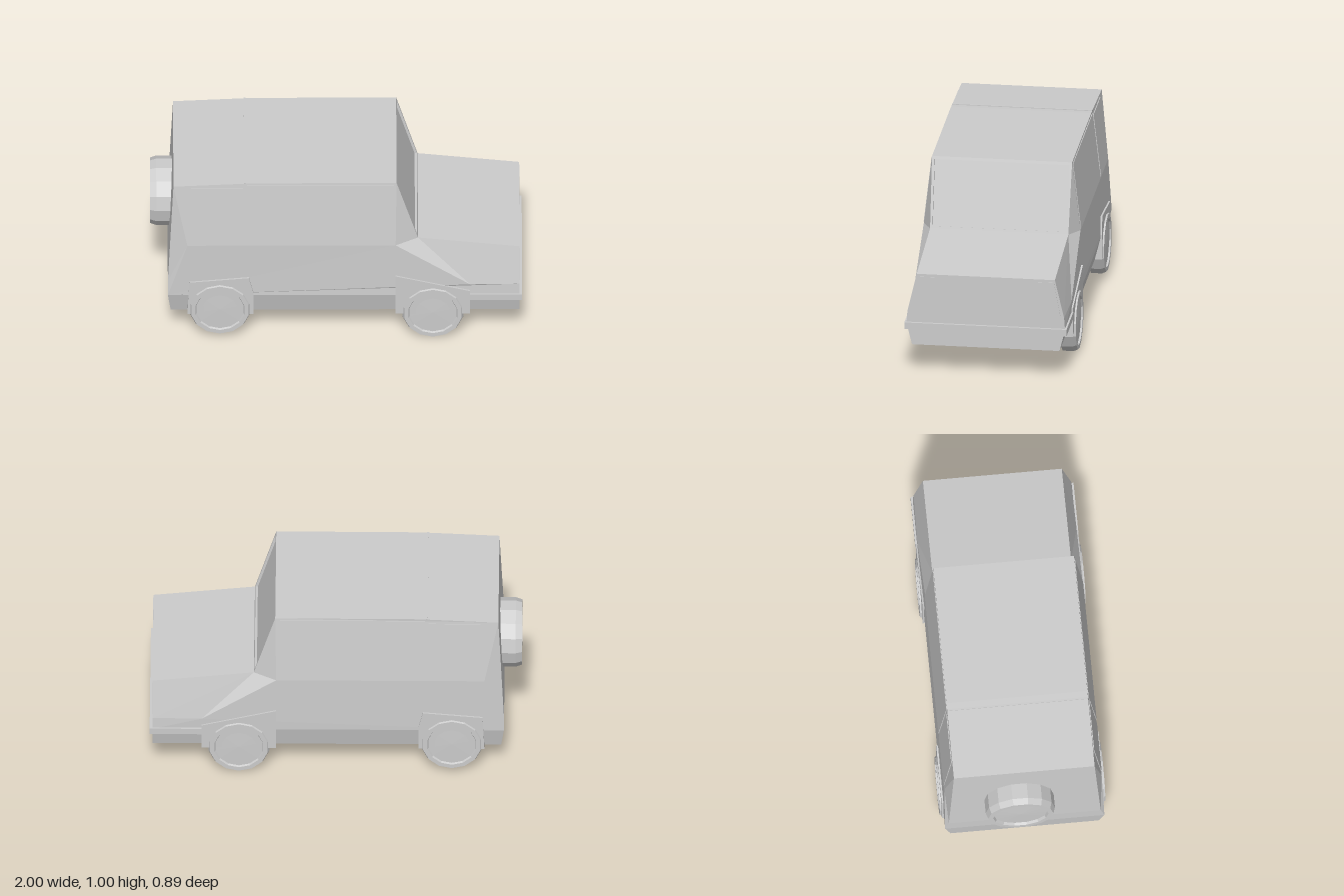
import * as THREE from 'three';

const mat = new THREE.MeshStandardMaterial({ color: 0xcccccc, flatShading: true });
const mirror = (p) => [p[0], p[1], -p[2]];

// Mesh from a list of polygons (each fanned into triangles)
function polyMesh(name, polys) {
  const pos = [];
  for (const p of polys) {
    for (let i = 1; i < p.length - 1; i++) pos.push(...p[0], ...p[i], ...p[i + 1]);
  }
  const g = new THREE.BufferGeometry();
  g.setAttribute('position', new THREE.Float32BufferAttribute(pos, 3));
  g.computeVertexNormals();
  const m = new THREE.Mesh(g, mat);
  m.name = name;
  return m;
}

// Prism: polygon (counter-clockwise from outside) raised by an offset
function panel(name, pts, off) {
  const top = pts.map((p) => p.map((v, i) => v + off[i]));
  const polys = [top, [...pts].reverse()];
  pts.forEach((p, i) => {
    const j = (i + 1) % pts.length;
    polys.push([p, pts[j], top[j], top[i]]);
  });
  return polyMesh(name, polys);
}

// The same prism on the left or right side
function sidePanel(name, pts, off, s) {
  return s > 0 ? panel(name, pts, off) : panel(name, pts.map(mirror).reverse(), mirror(off));
}

function wheel(name, r, w) {
  const profile = [[0, 0], [1, 0], [1, 0.72], [0.94, 1], [0.8, 1], [0.77, 0.88], [0, 0.92]];
  const g = new THREE.LatheGeometry(profile.map(([a, b]) => new THREE.Vector2(a * r, b * w)), 14);
  const m = new THREE.Mesh(g, mat);
  m.name = name;
  return m;
}

function body() {
  const A = [-0.875, 0.975, 0.38], B = [-0.45, 0.996, 0.38], C = [0.325, 0.998, 0.38];
  const D = [0.44, 0.625, 0.375], E = [0.985, 0.565, 0.375], F = [0.985, 0.35, 0.425];
  const G = [0.72, 0.35, 0.43], H = [0.32, 0.61, 0.425], I = [-0.8, 0.61, 0.425];
  const J = [-0.905, 0.36, 0.41], K = [-0.905, 0.28, 0.43], L = [-0.89, 0.16, 0.4];
  const M = [0.985, 0.16, 0.4], N = [0.985, 0.28, 0.43];
  const polys = [];
  // Faceted flanks
  const flank = [[I, H, C, B, A], [H, D, C], [H, G, D], [G, F, E, D], [K, N, F, G],
    [K, G, H, I], [K, I, J], [L, M, N, K], [J, I, A]];
  for (const f of flank) polys.push(f, f.map(mirror).reverse());
  // Strips across the car, following the outline
  const outline = [A, B, C, D, E, F, N, M, L, K, J];
  outline.forEach((p, i) => {
    const q = outline[(i + 1) % outline.length];
    if (p !== C) polys.push([p, q, mirror(q), mirror(p)]);
  });
  // Windscreen set back in its frame
  const ci = [0.33, 0.983, 0.365], di = [0.436, 0.638, 0.363];
  const outer = [C, D, mirror(D), mirror(C)];
  const inner = [ci, di, mirror(di), mirror(ci)];
  const deep = inner.map(([x, y, z]) => [x - 0.012, y - 0.004, z]);
  for (let i = 0; i < 4; i++) {
    const j = (i + 1) % 4;
    polys.push([outer[i], outer[j], inner[j], inner[i]], [inner[i], inner[j], deep[j], deep[i]]);
  }
  polys.push(deep);
  return polyMesh('body', polys);
}

export function createModel() {
  const car = new THREE.Group();
  car.name = 'offRoadVan';
  car.add(body());

  // Rear roof section seam
  car.add(panel('roofSeam', [[-0.495, 0.992, 0.38], [-0.485, 0.992, 0.38],
    [-0.485, 0.992, -0.38], [-0.495, 0.992, -0.38]], [0, 0.006, 0]));

  for (const s of [1, -1]) {
    const side = s > 0 ? 'right' : 'left';
    // Side windows lie on the sloping upper flank
    const w = (x, y) => [x, y, 0.424 - (y - 0.61) * 0.116];
    const win = (x0, x1, y1) => [w(x0, 0.615), w(x1, 0.615), w(x1, y1), w(x0, y1)];
    car.add(sidePanel(side + 'FrontWindow', win(-0.48, 0.31, 0.985), [0, 0, 0.004], s));
    car.add(sidePanel(side + 'RearWindow', win(-0.78, -0.5, 0.968), [0, 0, 0.004], s));

    // Angular wheel arch flares
    const flares = {
      RearFlare: [[-0.8, 0.16], [-0.445, 0.16], [-0.445, 0.3], [-0.47, 0.4], [-0.79, 0.37]],
      FrontFlare: [[0.32, 0.16], [0.72, 0.16], [0.72, 0.31], [0.32, 0.41]],
    };
    for (const [n, pts] of Object.entries(flares)) {
      car.add(sidePanel(side + n, pts.map(([x, y]) => [x, y, 0.385]), [0, 0, 0.053], s));
    }

    // Headlights
    car.add(sidePanel(side + 'Headlight', [[0.984, 0.36, 0.405], [0.984, 0.36, 0.265],
      [0.984, 0.55, 0.265], [0.984, 0.55, 0.37]], [0.004, 0, 0], s));

    // Wheels
    for (const [n, x, y] of [['RearWheel', -0.625, 0.192], ['FrontWheel', 0.52, 0.168]]) {
      const m = wheel(side + n, 0.168, 0.083);
      m.rotation.x = s * Math.PI / 2;
      m.position.set(x, y, s * 0.364);
      car.add(m);
    }
  }

  // Front bumper wrapping back to the flares
  const bumper = new THREE.Mesh(new THREE.BoxGeometry(0.28, 0.037, 0.88), mat);
  bumper.name = 'frontBumper';
  bumper.position.set(0.86, 0.27, 0);
  car.add(bumper);

  // Spare wheel on the tail
  const spare = wheel('spareWheel', 0.187, 0.12);
  spare.rotation.z = Math.PI / 2;
  spare.position.set(-0.88, 0.64, -0.03);
  car.add(spare);

  return car;
}
